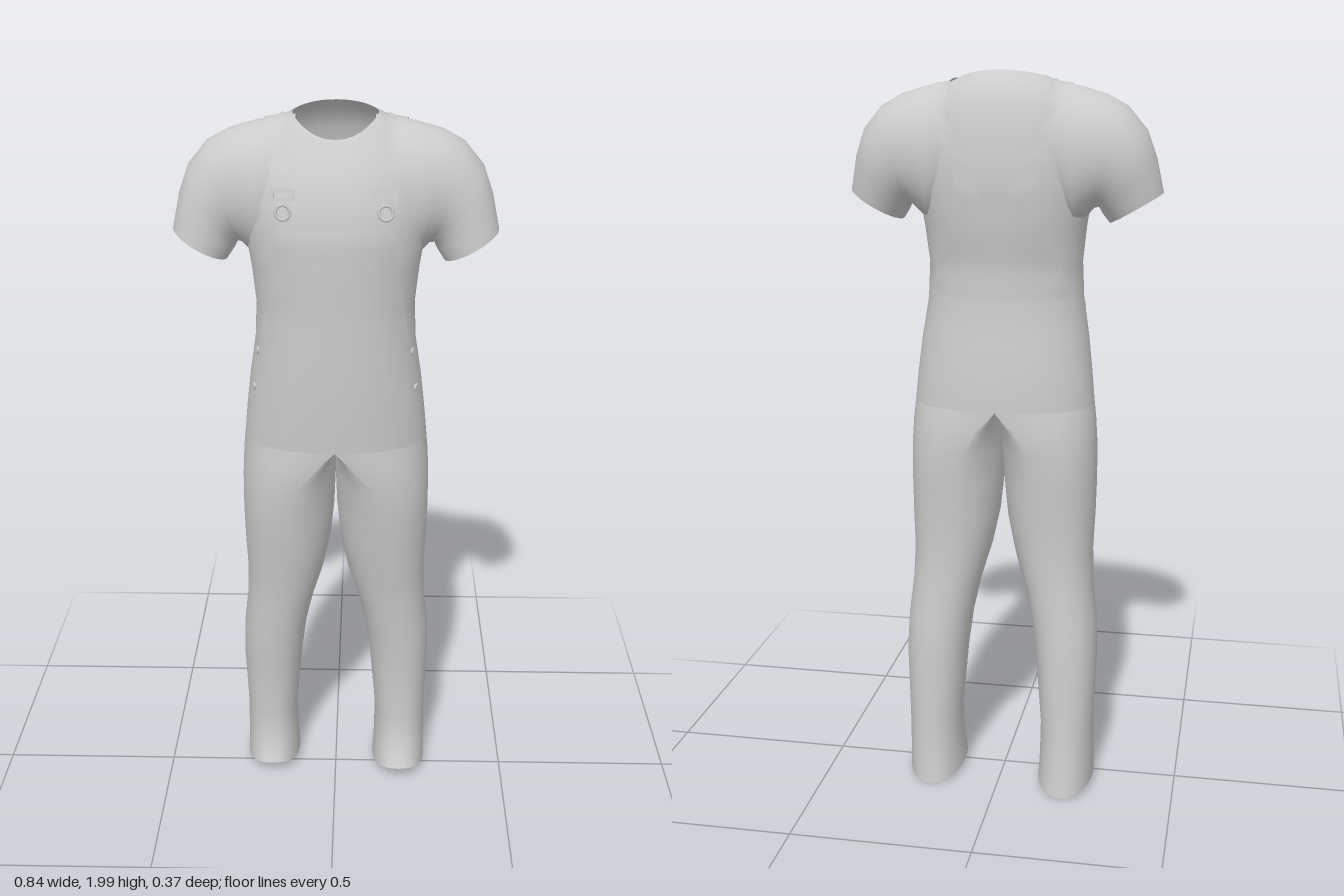
import * as THREE from 'three';

const SEG = 32;
const cloth = new THREE.MeshStandardMaterial({ color: 0xcccccc, side: THREE.DoubleSide });
cloth.name = 'light grey cloth';

// Surface through rows of points; closed rows wrap around
function skin(rows, closed) {
  const n = rows[0].length, idx = [];
  for (let r = 0; r + 1 < rows.length; r++) {
    for (let i = 0; i < (closed ? n : n - 1); i++) {
      const a = r * n + i, b = r * n + (i + 1) % n;
      idx.push(a, b, a + n, b, b + n, a + n);
    }
  }
  const g = new THREE.BufferGeometry().setFromPoints(rows.flat());
  g.setIndex(idx);
  g.computeVertexNormals();
  return g;
}

// Ring: front, side and back height; inner, deepest and outer x; front and back z
function ring([yf, ys, yb, xi, xc, xo, zf, zb], mirror = 1) {
  const pts = [], p = 2 / 2.2, zc = (zf + zb) / 2, d = (zf - zb) / 2;
  for (let i = 0; i < SEG; i++) {
    const a = (i / SEG) * Math.PI * 2, c = Math.cos(a), s = Math.sin(a);
    const w = c > 0 ? xo - xc : xc - xi;
    pts.push(new THREE.Vector3(
      mirror * (xc + w * Math.sign(c) * Math.abs(c) ** p),
      ys + ((s > 0 ? yf : yb) - ys) * s * s,
      zc + d * Math.sign(s) * Math.abs(s) ** p));
  }
  return pts;
}

// Sleeve ring: top point, bottom point, front and back z
function sleeveRing([xt, yt, xb, yb, zf, zb], mirror) {
  const pts = [];
  for (let i = 0; i < SEG; i++) {
    const a = (i / SEG) * Math.PI * 2, k = (1 + Math.cos(a)) / 2;
    pts.push(new THREE.Vector3(
      mirror * (xb + (xt - xb) * k),
      yb + (yt - yb) * k,
      (zf + zb) / 2 + Math.sin(a) * (zf - zb) / 2));
  }
  return pts;
}

// Linear lookup in a list of [key, value] pairs
function lookup(list, t) {
  for (let i = 1; i < list.length; i++) {
    const [a, va] = list[i - 1], [b, vb] = list[i];
    if (t <= b) return va + (vb - va) * (t - a) / (b - a);
  }
  return list[list.length - 1][1];
}

// y, half width, front z, back z
const TORSO = [
  [1.12, 0.248, 0.162, -0.162], [1.2, 0.24, 0.168, -0.16], [1.3, 0.228, 0.174, -0.148],
  [1.4, 0.212, 0.176, -0.134], [1.5, 0.207, 0.178, -0.135], [1.6, 0.218, 0.182, -0.152],
  [1.7, 0.235, 0.184, -0.162], [1.78, 0.238, 0.168, -0.158], [1.85, 0.225, 0.143, -0.148],
];
const COLLAR = [
  [1.89, 1.91, 1.92, -0.2, 0, 0.2, 0.115, -0.132],
  [1.92, 1.963, 1.97, -0.155, 0, 0.155, 0.1, -0.105],
  [1.93, 1.985, 2.0, -0.108, 0, 0.108, 0.088, -0.068],
];
const LEG = [
  [1.12, 1.12, 1.12, 0, 0, 0.248, 0.162, -0.162],
  [1.07, 1.07, 1.07, 0, 0.05, 0.253, 0.158, -0.163],
  [1.0, 1.0, 1.0, 0, 0.105, 0.257, 0.152, -0.16],
  [0.9, 0.9, 0.9, 0.004, 0.125, 0.258, 0.138, -0.15],
  [0.8, 0.8, 0.8, 0.014, 0.135, 0.256, 0.122, -0.143],
  [0.7, 0.7, 0.7, 0.035, 0.145, 0.252, 0.103, -0.138],
  [0.6, 0.6, 0.6, 0.065, 0.16, 0.256, 0.085, -0.14],
  [0.5, 0.5, 0.5, 0.087, 0.178, 0.268, 0.075, -0.148],
  [0.4, 0.4, 0.4, 0.1, 0.185, 0.272, 0.063, -0.155],
  [0.2, 0.2, 0.2, 0.118, 0.193, 0.266, 0.045, -0.158],
  [0.1, 0.1, 0.1, 0.116, 0.192, 0.267, 0.065, -0.163],
  [0.055, 0.03, 0.012, 0.112, 0.19, 0.268, 0.09, -0.175],
];
const SLEEVE = [
  [0.1, 1.975, 0.12, 1.64, 0.105, -0.12], [0.2, 1.96, 0.19, 1.6, 0.118, -0.135],
  [0.27, 1.94, 0.222, 1.63, 0.102, -0.127], [0.325, 1.91, 0.24, 1.65, 0.093, -0.12],
  [0.375, 1.85, 0.253, 1.653, 0.09, -0.114], [0.4, 1.78, 0.262, 1.635, 0.09, -0.1],
  [0.419, 1.69, 0.28, 1.61, 0.092, -0.078],
];

export function createModel() {
  const group = new THREE.Group();
  const add = (name, geo) => {
    const m = new THREE.Mesh(geo, cloth);
    m.name = name;
    group.add(m);
    return m;
  };

  // Shirt body and hips in one skin, open at the neck
  const torsoRings = TORSO.map(([y, w, zf, zb]) => [y, y, y, -w, 0, w, zf, zb]).concat(COLLAR);
  const body = [add('torso', skin(torsoRings.map(r => ring(r)), true))];

  // Sleeves and trouser legs, open at the cuffs and hems; the right leg trails a little
  for (const [s, side] of [[1, 'left'], [-1, 'right']]) {
    body.push(add(side + 'Sleeve', skin(SLEEVE.map(r => sleeveRing(r, s)), true)));
    const rows = LEG.map(r => {
      const q = r.slice(), shift = s < 0 ? 0.013 : -0.01;
      const k = Math.max(0, 1 - r[1] / 0.4);
      q[6] -= shift * k;
      q[7] -= shift * k;
      return ring(q, s);
    });
    add(side + 'Leg', skin(rows, true));
  }

  // Outermost cloth point along a ray, lifted slightly
  const caster = new THREE.Raycaster();
  const project = (origin, dir, lift) => {
    caster.set(origin, dir);
    const hits = caster.intersectObjects(body, false);
    const d = hits.length ? hits[hits.length - 1].distance : 0.15;
    return origin.clone().addScaledVector(dir, d + lift);
  };

  // Bib and back panel laid over the shirt
  const panel = (name, widths, top, dirZ) => {
    const rows = [], dir = new THREE.Vector3(0, 0, dirZ);
    for (let r = 0; r <= 12; r++) {
      const row = [];
      for (let i = 0; i <= 16; i++) {
        const u = i / 8 - 1, y = 1.42 + (top - 1.42) * r / 12;
        row.push(project(new THREE.Vector3(u * lookup(widths, y), y, 0), dir, 0.004));
      }
      rows.push(row);
    }
    add(name, skin(rows, false));
  };
  panel('bib', [[1.42, 0.19], [1.47, 0.185], [1.55, 0.17], [1.68, 0.155], [1.73, 0.14]], 1.73, 1);
  panel('backPanel', [[1.42, 0.19], [1.5, 0.165], [1.6, 0.11], [1.7, 0.075]], 1.7, -1);

  for (const [s, side] of [[1, 'left'], [-1, 'right']]) {
    // Strap over the shoulder, converging at the back
    const rows = [];
    const path = [[0, 0.128], [0.25, 0.142], [0.45, 0.16], [0.6, 0.15], [0.8, 0.1], [1, 0.05]];
    for (let r = 0; r <= 28; r++) {
      const t = r / 28, a = (18 + 180 * t) * Math.PI / 180;
      const dir = new THREE.Vector3(0, Math.sin(a), Math.cos(a));
      rows.push([-0.024, -0.008, 0.008, 0.024].map(o =>
        project(new THREE.Vector3(s * (lookup(path, t) + o), 1.72, 0), dir, 0.005)));
    }
    add(side + 'Strap', skin(rows, false));

    // Buckle: slider bars, hook loop and button
    const buckle = new THREE.Group();
    buckle.name = side + 'Buckle';
    const part = (name, geo, x, y, z = 0) => {
      const m = new THREE.Mesh(geo, cloth);
      m.name = name;
      m.position.set(x, y, z);
      buckle.add(m);
      return m;
    };
    for (const y of [0.035, 0.015]) part('sliderBar', new THREE.BoxGeometry(0.058, 0.008, 0.008), 0, y);
    for (const x of [-0.026, 0.026]) part('sliderSide', new THREE.BoxGeometry(0.007, 0.028, 0.008), x, 0.025);
    part('hookLoop', new THREE.TorusGeometry(0.018, 0.004, 6, 16), 0, -0.018);
    part('button', new THREE.CylinderGeometry(0.011, 0.011, 0.008, 12), 0, -0.02).rotation.x = Math.PI / 2;
    buckle.position.copy(project(new THREE.Vector3(s * 0.127, 1.785, 0), new THREE.Vector3(0, 0, 1), 0.011));
    buckle.rotation.x = -0.2;
    group.add(buckle);

    // Side buttons at the hip
    for (const y of [1.38, 1.28]) {
      const b = add(side + 'HipButton', new THREE.CylinderGeometry(0.01, 0.01, 0.006, 10));
      b.position.copy(project(new THREE.Vector3(0, y, 0.08), new THREE.Vector3(s, 0, 0), 0.002));
      b.rotation.set(0, -s * 0.5, Math.PI / 2);
    }
  }
  return group;
}
